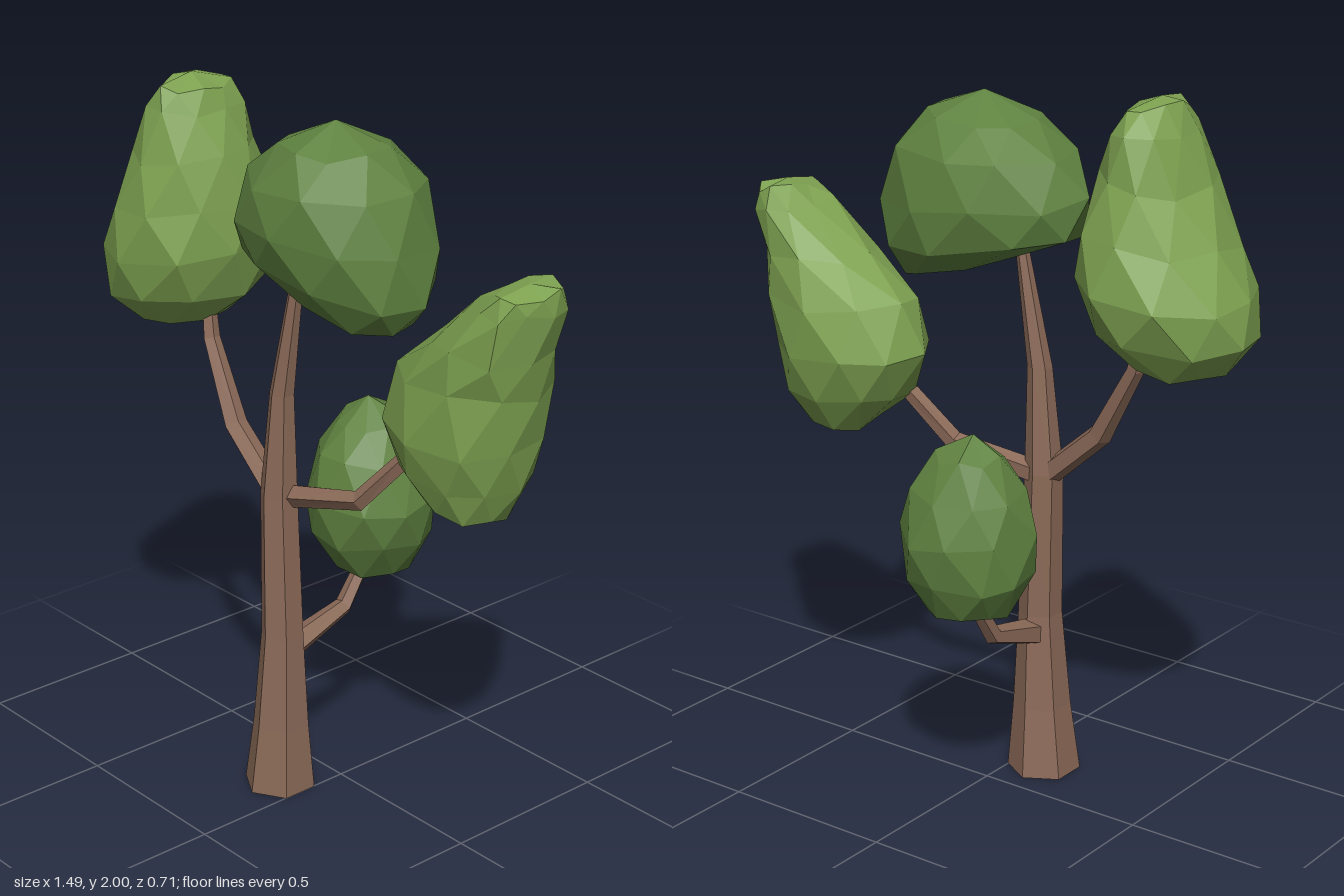
import * as THREE from 'three';

const material = (name, color) => {
  const m = new THREE.MeshStandardMaterial({ color });
  m.name = name;
  return m;
};

// Small seeded random, -1 to 1
function seeded(seed) {
  let s = seed;
  return () => {
    s = (s * 16807) % 2147483647;
    return (s / 2147483647) * 2 - 1;
  };
}

// Joins rings of points into a closed, faceted skin with a point at each end
function skin(rings, start, end) {
  const n = rings[0].length;
  const points = [...rings.flat(), start, end];
  const index = [];
  const first = n * rings.length;
  const last = (rings.length - 1) * n;
  for (let j = 0; j < n; j++) {
    const k = (j + 1) % n;
    for (let i = 0; i < rings.length - 1; i++) {
      const a = i * n, b = a + n;
      index.push(a + j, a + k, b + j, b + j, a + k, b + k);
    }
    index.push(first, k, j, first + 1, last + j, last + k);
  }
  const indexed = new THREE.BufferGeometry().setFromPoints(points);
  indexed.setIndex(index);
  const geometry = indexed.toNonIndexed();
  geometry.computeVertexNormals();
  return geometry;
}

// Tapered limb through stations [x, y, z, radius]
function limb(stations, sides, side, level = false) {
  const centres = stations.map(([x, y, z]) => new THREE.Vector3(x, y, z));
  const rings = centres.map((c, i) => {
    const before = centres[Math.max(i - 1, 0)];
    const after = centres[Math.min(i + 1, centres.length - 1)];
    const t = level ? new THREE.Vector3(0, 1, 0) : after.clone().sub(before).normalize();
    const u = side.clone().addScaledVector(t, -side.dot(t)).normalize();
    const v = t.clone().cross(u);
    return Array.from({ length: sides }, (_, j) => {
      const a = (j / sides) * Math.PI * 2, r = stations[i][3];
      return c.clone().addScaledVector(u, Math.cos(a) * r).addScaledVector(v, Math.sin(a) * r);
    });
  });
  return skin(rings, centres[0], centres[centres.length - 1]);
}

// Leaf clump from tilted oval rings [left x, left y, right x, right y, back z, front z]
function clump(ovals, bottom, top, seed) {
  const random = seeded(seed);
  const sides = 9;
  const rings = ovals.map(([x0, y0, x1, y1, z0, z1], i) =>
    Array.from({ length: sides }, (_, j) => {
      const a = ((j + i * 0.5 + random() * 0.12) / sides) * Math.PI * 2;
      const r = 1.03 + random() * 0.04;
      const sx = Math.sin(a) * r, sz = Math.cos(a) * r;
      return new THREE.Vector3(
        (x0 + x1) / 2 + (sx * (x1 - x0)) / 2,
        (y0 + y1) / 2 + (sx * (y1 - y0)) / 2 + random() * 0.015,
        (z0 + z1) / 2 + (sz * (z1 - z0)) / 2
      );
    })
  );
  return skin(rings, new THREE.Vector3(...bottom), new THREE.Vector3(...top));
}

export function createModel() {
  const tree = new THREE.Group();
  tree.name = 'tree';
  const bark = material('bark brown', 0x8b6a58);
  const light = material('light leaf green', 0x7da150);
  const dark = material('dark leaf green', 0x5f8240);
  const add = (name, geometry, mat) => {
    const mesh = new THREE.Mesh(geometry, mat);
    mesh.name = name;
    tree.add(mesh);
  };
  const alongX = new THREE.Vector3(1, 0, 0);
  const alongZ = new THREE.Vector3(0, 0, 1);

  // Trunk and branches
  add('trunk', limb([
    [-0.088, 0, 0.155, 0.104], [-0.08, 0.2, 0.155, 0.082], [-0.073, 0.48, 0.153, 0.062],
    [-0.083, 0.9, 0.152, 0.054], [-0.067, 1.2, 0.152, 0.035], [-0.012, 1.52, 0.145, 0.019],
  ], 6, alongZ, true), bark);
  add('rightBranch', limb([
    [-0.08, 0.88, 0.15, 0.036], [-0.27, 1.045, 0.15, 0.034],
    [-0.395, 1.26, 0.13, 0.025], [-0.42, 1.38, 0.12, 0.02],
  ], 5, alongZ), bark);
  add('leftBranch', limb([
    [-0.08, 0.895, 0.14, 0.034], [0.18, 0.95, 0.09, 0.029],
    [0.3, 1.09, 0.04, 0.025], [0.35, 1.16, 0.02, 0.02],
  ], 5, alongZ), bark);
  add('backBranch', limb([
    [-0.075, 0.42, 0.14, 0.042], [-0.08, 0.485, -0.08, 0.027],
    [-0.08, 0.59, -0.15, 0.022], [-0.08, 0.68, -0.18, 0.018],
  ], 5, alongX), bark);

  // Pear-shaped leaf clumps
  add('rightLeaves', clump([
    [-0.67, 1.3, -0.41, 1.31, -0.02, 0.24],
    [-0.74, 1.38, -0.31, 1.39, -0.1, 0.32],
    [-0.74, 1.49, -0.27, 1.53, -0.13, 0.35],
    [-0.67, 1.62, -0.28, 1.66, -0.1, 0.33],
    [-0.6, 1.77, -0.31, 1.8, -0.05, 0.3],
    [-0.545, 1.91, -0.355, 1.91, -0.03, 0.27],
    [-0.51, 1.98, -0.38, 1.965, 0.02, 0.24],
  ], [-0.58, 1.27, 0.11], [-0.46, 2, 0.13], 11), light);
  add('leftLeaves', clump([
    [0.37, 1.0, 0.58, 0.99, -0.13, 0.08],
    [0.27, 1.09, 0.63, 1.08, -0.19, 0.12],
    [0.205, 1.23, 0.66, 1.2, -0.22, 0.15],
    [0.255, 1.36, 0.685, 1.35, -0.21, 0.14],
    [0.4, 1.48, 0.71, 1.46, -0.18, 0.12],
    [0.55, 1.61, 0.735, 1.59, -0.16, 0.09],
    [0.61, 1.65, 0.73, 1.64, -0.13, 0.07],
  ], [0.47, 0.955, -0.02], [0.67, 1.66, -0.03], 29), light);

  // Rounded leaf clumps
  add('topLeaves', clump([
    [-0.1, 1.54, 0.3, 1.44, -0.08, 0.2],
    [-0.235, 1.6, 0.355, 1.53, -0.15, 0.27],
    [-0.25, 1.7, 0.345, 1.66, -0.17, 0.3],
    [-0.2, 1.8, 0.3, 1.81, -0.14, 0.28],
    [-0.1, 1.9, 0.22, 1.9, -0.07, 0.21],
  ], [0.14, 1.46, 0.06], [0.06, 1.965, 0.07], 47), dark);
  add('backLeaves', clump([
    [-0.19, 0.605, 0.03, 0.6, -0.29, -0.07],
    [-0.255, 0.71, 0.095, 0.7, -0.34, -0.01],
    [-0.255, 0.82, 0.11, 0.82, -0.355, 0.01],
    [-0.225, 0.94, 0.075, 0.95, -0.33, -0.03],
    [-0.17, 1.04, 0.01, 1.04, -0.28, -0.09],
  ], [-0.08, 0.58, -0.19], [-0.09, 1.1, -0.18], 83), dark);

  return tree;
}
